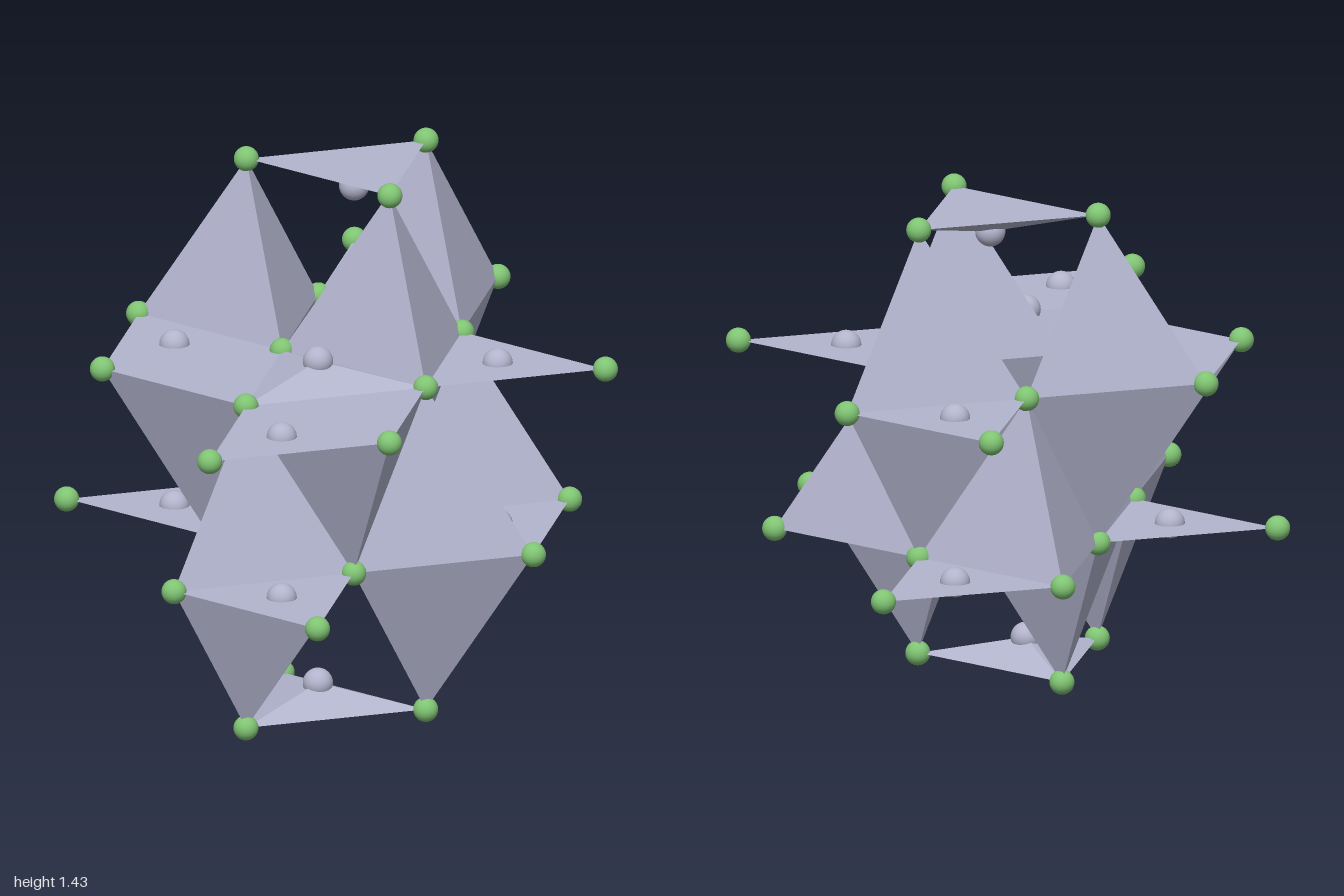
import * as THREE from 'three';
import { ConvexGeometry } from 'three/addons/geometries/ConvexGeometry.js';

// Triangular lattice: column spacing H, atom spacing S, half layer height Q, mid height MID
const H = 0.4445, S = 0.5133, Q = 0.2275, MID = 0.7175;

export function createModel() {
  const group = new THREE.Group();
  const lavender = new THREE.MeshStandardMaterial({ color: 0xb3b5ce, side: THREE.DoubleSide, flatShading: true });
  lavender.name = 'lavender faces';
  const centre = new THREE.MeshStandardMaterial({ color: 0xb3b3cc });
  centre.name = 'lavender spheres';
  const green = new THREE.MeshStandardMaterial({ color: 0x80c473 });
  green.name = 'green';
  const greenBall = new THREE.SphereGeometry(0.034, 24, 16);
  const greyBall = new THREE.SphereGeometry(0.041, 24, 16);

  const add = (name, geometry, material) => {
    const mesh = new THREE.Mesh(geometry, material);
    mesh.name = name;
    group.add(mesh);
    return mesh;
  };
  const ball = (name, geometry, material, p) => add(name, geometry, material).position.copy(p);

  // The cluster is symmetric through its centre: build each half with sign +1 and -1
  for (const sign of [1, -1]) {
    const point = (u, y, v) => new THREE.Vector3(sign * u * H, MID + sign * y, sign * v * S);
    const triangle = (u, y, v) => [
      point(u - 2 / 3, y, v), point(u + 1 / 3, y, v + 0.5), point(u + 1 / 3, y, v - 0.5),
    ];

    // Solids: triangular base with an apex on one side, or on both sides
    const solids = [
      [-7 / 6, 0.25, true], [-1 / 6, 0.75, true], [-1 / 6, -0.25, true],
      [5 / 6, 0.25, false], [5 / 6, -0.75, false],
    ];
    for (const [u, v, double] of solids) {
      const base = triangle(u, -Q, v);
      const points = [...base, point(u, Q, v)];
      if (double) points.push(point(u, -3 * Q, v));
      add(double ? 'bipyramid' : 'tetrahedron', new ConvexGeometry(points), lavender);
    }

    // Flat triangles with a ball in the middle and at each corner
    for (const [u, v] of [[-1.5, 0.75], [0.5, 0.75], [-0.5, -0.75], [1.5, -0.75]]) {
      const corners = triangle(u, Q, v);
      const geometry = new THREE.BufferGeometry().setFromPoints(corners);
      geometry.computeVertexNormals();
      add('flatTriangle', geometry, lavender);
      ball('centreAtom', greyBall, centre, point(u, Q, v));
      corners.forEach((p) => ball('cornerAtom', greenBall, green, p));
    }

    // Shallow pyramids with a raised centre ball
    for (const y of [Q, -3 * Q]) {
      const corners = triangle(-0.5, y, 0.25);
      const peak = point(-0.5, y + 0.058, 0.25);
      add('shallowPyramid', new ConvexGeometry([...corners, peak]), lavender);
      ball('raisedAtom', greyBall, centre, peak);
      if (y < 0) corners.forEach((p) => ball('endAtom', greenBall, green, p));
    }
  }
  return group;
}
